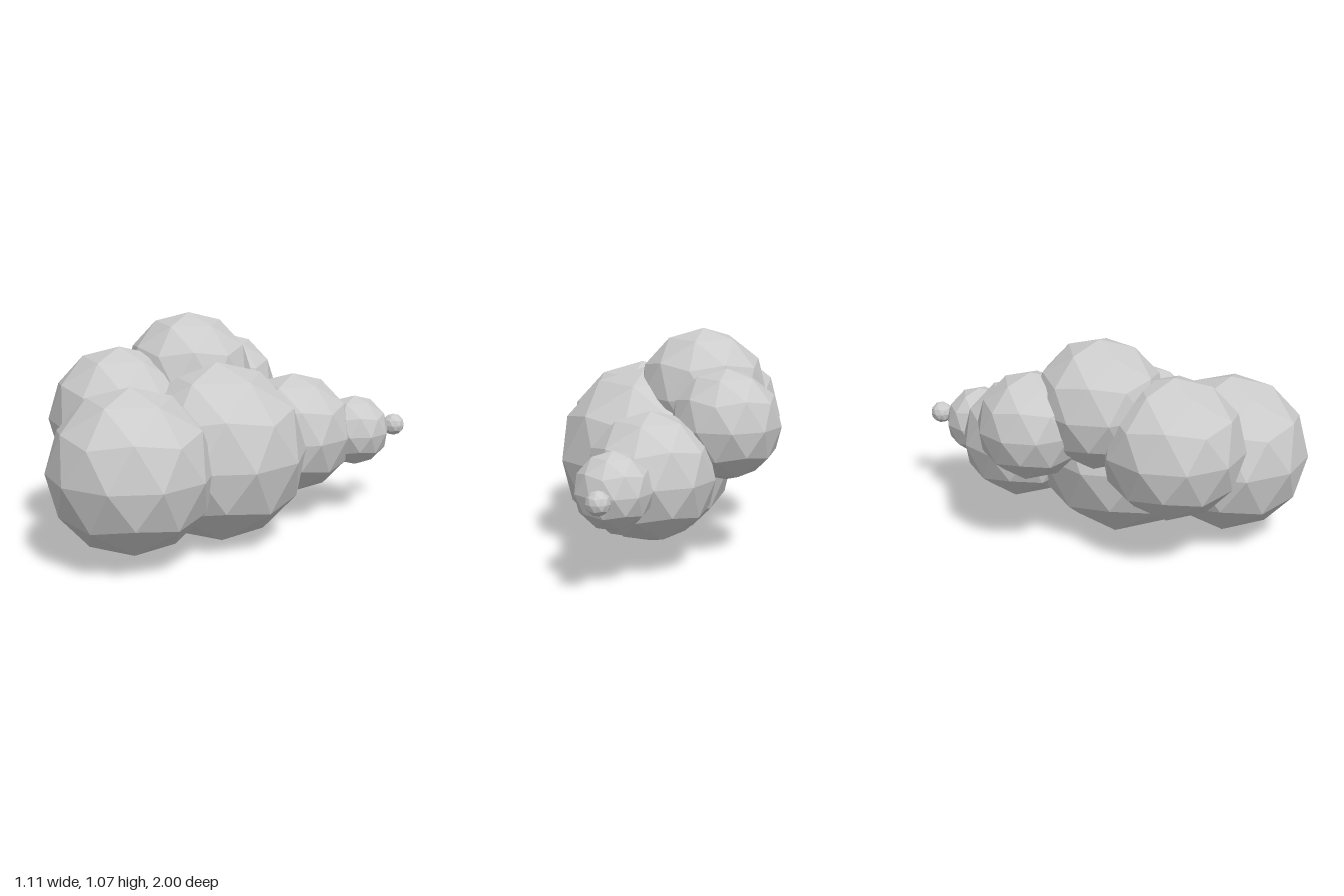
import * as THREE from 'three';

// Faceted ball geometry with one vertex pointing straight up
function makeBall() {
  const ball = new THREE.IcosahedronGeometry(1, 1);
  ball.rotateZ(-Math.atan(2 / (1 + Math.sqrt(5))));
  ball.computeVertexNormals();
  return ball;
}

// name, x, y, z, radius
const PUFFS = [
  ['frontPuff', 0.138, 0.44, 0.609, 0.391],
  ['middlePuff', 0.138, 0.437, 0.081, 0.437],
  ['backPuff', 0.138, 0.441, -0.442, 0.304],
  ['tailPuff', 0.313, 0.439, -0.71, 0.179],
  ['tailTipPuff', 0.381, 0.441, -0.944, 0.056],
  ['sideFrontPuff', -0.226, 0.59, 0.378, 0.345],
  ['topPuff', -0.138, 0.754, 0.013, 0.317],
  ['sideBackPuff', -0.22, 0.653, -0.303, 0.263],
];

export function createModel() {
  const cloud = new THREE.Group();
  cloud.name = 'cloud';
  const ball = makeBall();
  const material = new THREE.MeshStandardMaterial({ color: 0xcccccc, flatShading: true });

  // Overlapping puffs share one geometry, each scaled and placed
  for (const [name, x, y, z, radius] of PUFFS) {
    const puff = new THREE.Mesh(ball, material);
    puff.name = name;
    puff.position.set(x, y, z);
    puff.scale.setScalar(radius);
    cloud.add(puff);
  }
  return cloud;
}
